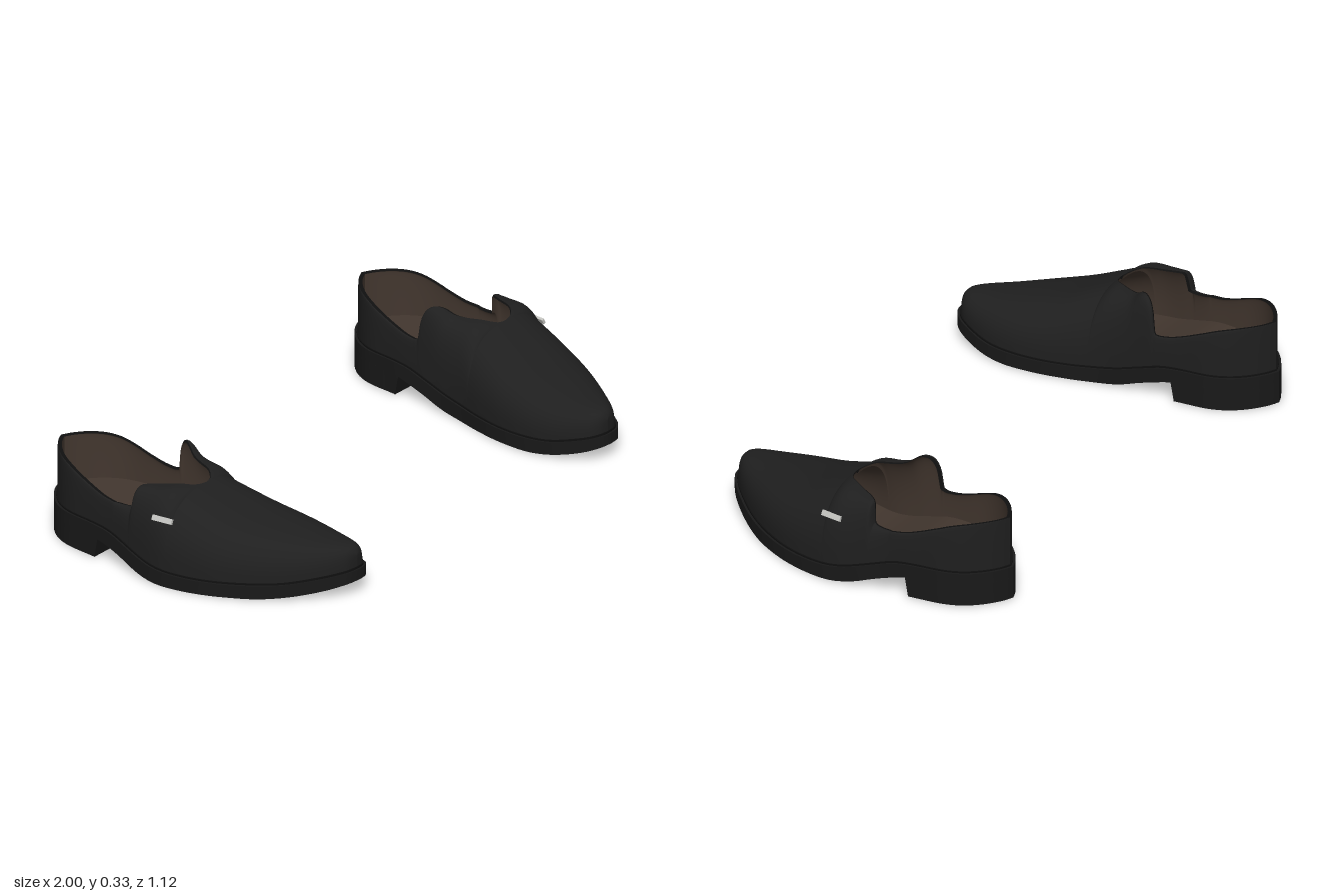
import * as THREE from 'three';
import { mergeVertices, toCreasedNormals } from 'three/addons/utils/BufferGeometryUtils.js';

const mat = (name, color, side = THREE.FrontSide) => {
  const m = new THREE.MeshStandardMaterial({ color, side });
  m.name = name;
  return m;
};

// Smooth function of z through [z, value] points listed from toe to heel
function profile(points) {
  const curve = new THREE.CatmullRomCurve3(points.map(([z, v]) => new THREE.Vector3(z, v, 0)));
  const s = curve.getPoints(points.length * 16);
  return (z) => {
    if (z >= s[0].x) return s[0].y;
    for (let i = 1; i < s.length; i++) {
      if (z >= s[i].x) {
        const k = (z - s[i].x) / (s[i - 1].x - s[i].x || 1);
        return s[i].y + (s[i - 1].y - s[i].y) * k;
      }
    }
    return s[s.length - 1].y;
  };
}

// Plan outline of the sole
const outer = profile([[.56, .65], [.553, .69], [.535, .72], [.5, .76], [.4, .847], [.3, .915], [.2, .963],
  [.1, .99], [0, 1], [-.1, .985], [-.2, .965], [-.3, .953], [-.4, .937], [-.46, .91], [-.51, .865], [-.545, .815], [-.56, .78]]);
const inner = profile([[.56, .65], [.555, .62], [.535, .59], [.5, .567], [.4, .53], [.3, .517], [.2, .525],
  [.1, .548], [0, .575], [-.1, .588], [-.2, .597], [-.3, .607], [-.4, .622], [-.46, .65], [-.51, .695], [-.545, .745], [-.56, .78]]);

// Side profiles of the sole
const soleTop = profile([[.56, .085], [.5, .07], [.4, .05], [.3, .045], [.05, .045], [-.05, .057], [-.15, .085],
  [-.22, .105], [-.28, .112], [-.56, .112]]);
const soleBottom = profile([[.56, .048], [.5, .028], [.42, .01], [.34, .001], [.25, 0], [0, 0], [-.08, .012],
  [-.15, .035], [-.22, .055], [-.27, .066], [-.56, .07]]);

// Ridge of the vamp, then the edges of the foot opening
const THROAT = 0.035;
const ridgeY = profile([[.548, .13], [.535, .15], [.52, .157], [.4, .175], [.2, .22], [.1, .258], [THROAT, .285]]);
const collar = [[-.24, .213], [-.3, .23], [-.36, .253], [-.42, .274], [-.48, .284], [-.55, .287]];
const edgeY = {
  outer: profile([[THROAT, .285], [0, .295], [-.03, .294], [-.06, .29], [-.1, .286], [-.12, .28], [-.127, .25], [-.133, .214], ...collar]),
  inner: profile([[THROAT, .285], [0, .298], [-.05, .3], [-.09, .306], [-.12, .325], [-.14, .331], [-.16, .325],
    [-.175, .305], [-.185, .27], [-.195, .214], ...collar]),
};
const edgeX = {
  outer: profile([[THROAT, .775], [.031, .8], [.02, .825], [0, .847], [-.05, .875], [-.1, .9], [-.125, .918], [-.135, .93], [-.2, .942]]),
  inner: profile([[THROAT, .775], [.031, .75], [.02, .733], [0, .715], [-.05, .692], [-.1, .67], [-.14, .647], [-.19, .62], [-.2, .614]]),
};

// Point on the upper: side of the shoe, station z, t = 0 at the sole and 1 at the top edge
function upperPoint(side, z, t, lining) {
  const zo = z / 0.978;
  const mid = (outer(zo) + inner(zo)) / 2;
  const rim = (side === 'outer' ? outer : inner)(zo) - mid;
  const bx = mid + rim * 0.95, by = soleTop(zo) - 0.005;
  let ex, ey;
  if (z >= THROAT) {
    ex = .775 - .125 * (z - THROAT) / (.548 - THROAT);
    ey = ridgeY(z);
  } else {
    ex = z < -.2 ? mid + rim * 0.9 : edgeX[side](z);
    ey = edgeY[side](z);
  }
  if (lining) ey -= z > THROAT ? .012 : .003;
  const a = t * Math.PI / 2;
  const cos = t === 1 ? 0 : Math.cos(a);
  const x = ex + (bx - ex) * cos ** 0.75;
  const y = by + (ey - by) * Math.sin(a) ** 0.75;
  return lining ? [mid + (x - mid) * 0.93, y, z * 0.975] : [x, y, z];
}

// Surface through rows of points; rows run toe to heel, points run outer to inner
function grid(rows, s, { flip = false, skip = () => false, crease = false } = {}) {
  const n = rows[0].length, pos = [], index = [];
  rows.forEach((r) => r.forEach(([x, y, z]) => pos.push(s * x, y, z)));
  for (let i = 0; i < rows.length - 1; i++) {
    for (let j = 0; j < n - 1; j++) {
      if (skip(i, j)) continue;
      const a = i * n + j, b = a + 1, c = a + n, d = c + 1;
      if ((s < 0) !== flip) index.push(a, b, c, b, d, c);
      else index.push(a, c, b, b, c, d);
    }
  }
  let g = new THREE.BufferGeometry();
  g.setAttribute('position', new THREE.Float32BufferAttribute(pos, 3));
  g.setIndex(index);
  g = mergeVertices(g, 1e-5);
  if (crease) return toCreasedNormals(g, 0.6);
  g.computeVertexNormals();
  return g;
}

// Stations from toe to heel, closer together at the ends
const stations = (n, from, to) => Array.from({ length: n + 1 }, (_, i) =>
  (from + to) / 2 + (from - to) / 2 * Math.cos(Math.PI * i / n));

// Slab that follows the outline, between two height profiles
function slab(zs, s, scale, bottom, top, heelFront) {
  const rows = zs.map((z, i) => {
    const m = (outer(z) + inner(z)) / 2;
    const o = m + (outer(z) - m) * scale, n = m + (inner(z) - m) * scale;
    const zt = z * (1 + scale) / 2;
    const zb = heelFront && i === 0 ? z - 0.013 : zt;
    return [[o, bottom(z), zb], [o, top(z), zt], [n, top(z), zt], [n, bottom(z), zb], [o, bottom(z), zb]];
  });
  // close the front end
  const f = rows[0];
  const c = [0, 1, 2].map((k) => (f[0][k] + f[2][k]) / 2);
  rows.unshift(f.map(() => c));
  return grid(rows, s, { crease: true });
}

export function createModel() {
  const leather = mat('black leather', 0x1f1f1f);
  const soleMat = mat('black sole', 0x191919);
  const seamMat = mat('dark seam', 0x101010, THREE.DoubleSide);
  const liningMat = mat('brown lining', 0x43372f, THREE.DoubleSide);
  const metal = mat('silver tag', 0xc4c4c0);

  const N = 14;
  const zs = [...stations(44, .548, THROAT), ...stations(16, THROAT, -.11).slice(1)];
  for (let z = -.115; z > -.205; z -= .004) zs.push(z);
  zs.push(...stations(36, -.21, -.548));

  const model = new THREE.Group();
  model.name = 'pairOfLoafers';

  for (const s of [1, -1]) {
    const shoe = new THREE.Group();
    shoe.name = s > 0 ? 'leftShoe' : 'rightShoe';
    const add = (name, geometry, material) => {
      const m = new THREE.Mesh(geometry, material);
      m.name = name;
      shoe.add(m);
      return m;
    };

    // Sole, stacked heel, welt and insole
    const full = stations(64, .56, -.56);
    add('sole', slab(full, s, 1, soleBottom, soleTop), soleMat);
    add('heel', slab([-.262, ...stations(30, -.28, -.56)], s, 1, () => 0, (z) => soleBottom(z) + .004, true), soleMat);
    add('welt', slab(full, s, 0.97, (z) => soleTop(z) - .004, (z) => soleTop(z) + .005), seamMat);
    add('insole', slab(full, s, 0.9, (z) => soleTop(z) - .002, (z) => soleTop(z) + .012), liningMat);

    // Upper and lining, open behind the throat
    const section = (z, lining) => {
      const row = [];
      for (let j = 0; j <= N; j++) row.push(upperPoint('outer', z, j / N, lining));
      for (let j = N; j >= 0; j--) row.push(upperPoint('inner', z, j / N, lining));
      return row;
    };
    const skip = (i, j) => j === N;
    const outside = zs.map((z) => section(z, false));
    const inside = zs.map((z) => section(z, true));
    add('upper', grid(outside, s, { skip }), leather);
    add('lining', grid(inside, s, { skip, flip: true }), liningMat);

    // Bound edge around the opening
    const open = zs.map((z, i) => i).filter((i) => zs[i] <= THROAT + 1e-6);
    add('outerCollarEdge', grid(open.map((i) => [outside[i][N], inside[i][N]]), s), seamMat);
    add('innerCollarEdge', grid(open.map((i) => [inside[i][N + 1], outside[i][N + 1]]), s), seamMat);

    // Small tag on the outer side
    const tag = add('sideTag', new THREE.BoxGeometry(.009, .018, .074), metal);
    tag.position.set(s * .968, .215, .008);
    tag.rotation.set(0, s * -.1, s * .45);

    model.add(shoe);
  }
  return model;
}
